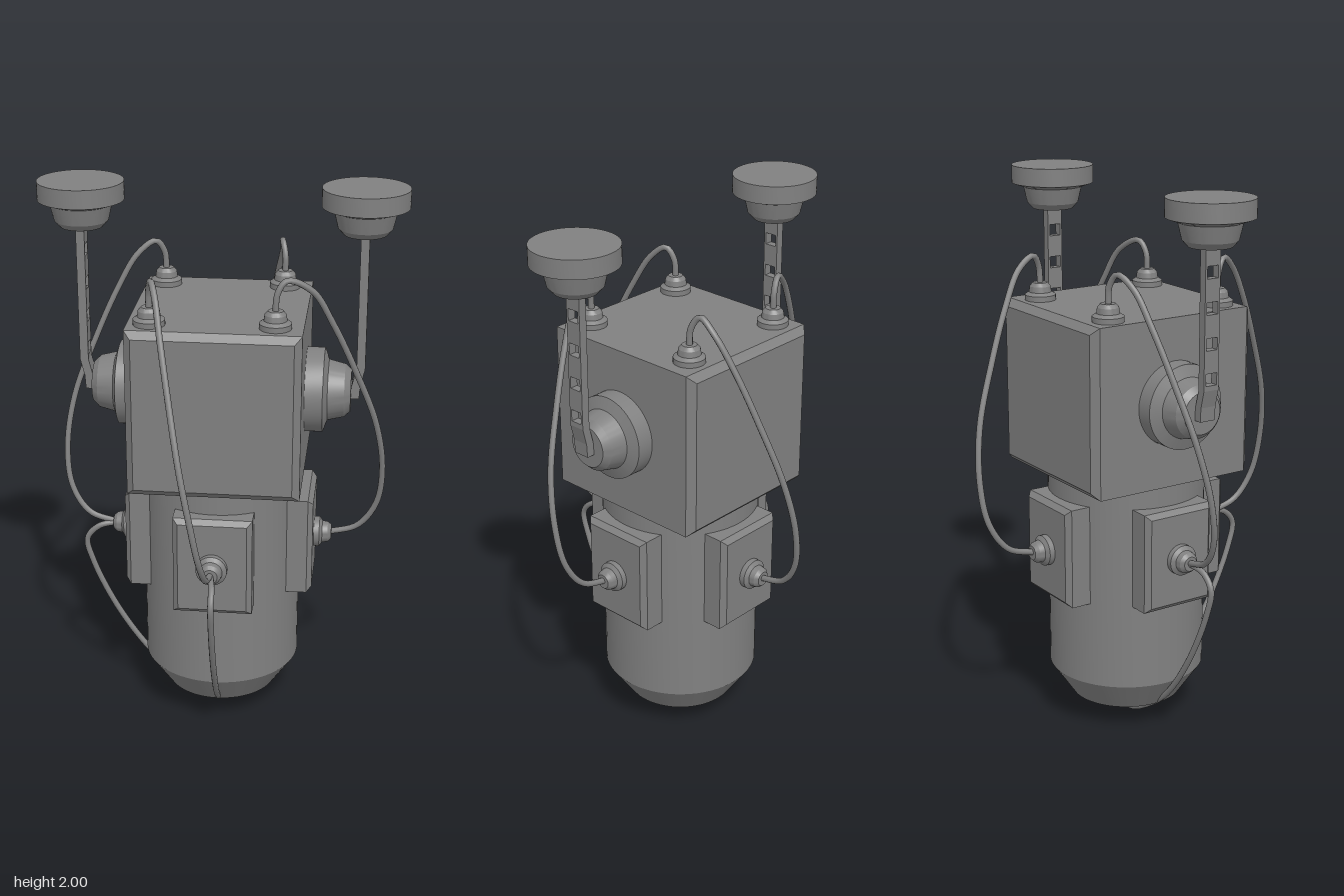
import * as THREE from 'three';
import { toCreasedNormals } from 'three/addons/utils/BufferGeometryUtils.js';

const material = new THREE.MeshStandardMaterial({ color: 0x808080 });

function add(parent, name, geometry) {
  const mesh = new THREE.Mesh(geometry, material);
  mesh.name = name;
  parent.add(mesh);
  return mesh;
}

// Turned part from [radius, height] pairs, bottom to top
function turned(profile, segments = 48) {
  const points = profile.map(([r, y]) => new THREE.Vector2(r, y));
  return toCreasedNormals(new THREE.LatheGeometry(points, segments), 0.4);
}

function polygon(pairs) {
  return new THREE.Shape(pairs.map(([x, y]) => new THREE.Vector2(x, y)));
}

function rectangle(w, h, cx = 0, cy = 0) {
  const a = w / 2, b = h / 2;
  return polygon([[cx - a, cy - b], [cx + a, cy - b], [cx + a, cy + b], [cx - a, cy + b]]);
}

// Block whose front and back faces are chamfered
function chamferedBlock(w, h, d, c) {
  return new THREE.ExtrudeGeometry(rectangle(w - 2 * c, h - 2 * c), {
    depth: d - 2 * c, bevelSize: c, bevelThickness: c, bevelSegments: 1,
  }).translate(0, 0, c - d / 2);
}

function cable(points) {
  const curve = new THREE.CatmullRomCurve3(points.map((p) => new THREE.Vector3(...p)));
  return new THREE.TubeGeometry(curve, 80, 0.011, 10, false);
}

const plugGeometry = turned([
  [0, -0.01], [0.055, -0.01], [0.055, 0.02], [0.04, 0.03],
  [0.037, 0.05], [0.026, 0.063], [0, 0.063],
], 32);

// Stepped disc shared by the side hubs and the top mounts
const steppedDisc = turned([
  [0, 0], [0.15, 0], [0.15, 0.065], [0.108, 0.08],
  [0.094, 0.138], [0.074, 0.16], [0, 0.16],
], 64);

// Pad, plugs and cables of one quarter, facing +z, with the top plug at x, z
function createQuarter(x, z, hasLowerCable) {
  const quarter = new THREE.Group();
  quarter.name = 'cableQuarter';
  add(quarter, 'sidePad', chamferedBlock(0.28, 0.365, 0.14, 0.018)).position.set(0, 0.711, 0.27);

  const sidePlug = add(quarter, 'sidePlug', plugGeometry);
  sidePlug.position.set(0, 0.711, 0.34);
  sidePlug.rotation.x = Math.PI / 2;
  add(quarter, 'topPlug', plugGeometry).position.set(x, 1.57, z);

  add(quarter, 'upperCable', cable([
    [x, 1.62, z], [x + 0.001, 1.69, z + 0.005], [x + 0.013, 1.733, z + 0.035],
    [-0.188, 1.69, 0.325], [-0.163, 1.57, 0.395], [-0.127, 1.39, 0.475],
    [-0.085, 1.18, 0.552], [-0.046, 0.99, 0.579], [-0.02, 0.84, 0.56],
    [-0.005, 0.745, 0.495], [0, 0.711, 0.39],
  ]));

  if (hasLowerCable) {
    add(quarter, 'lowerCable', cable([
      [0, 0.711, 0.39], [0.012, 0.695, 0.46], [0.014, 0.645, 0.504], [0.013, 0.55, 0.485],
      [0.01, 0.335, 0.385], [0.007, 0.15, 0.25], [0.004, 0.06, 0.13], [0, 0.02, 0.05],
      [0, 0.016, 0.02], [0, 0.04, 0.004], [0, 0.11, 0],
    ]));
  }
  return quarter;
}

// Hub, perforated strap and round mount on one side
function createHanger(side) {
  const hanger = new THREE.Group();
  hanger.name = side > 0 ? 'leftHanger' : 'rightHanger';

  const hub = add(hanger, 'hub', steppedDisc);
  hub.position.set(side * 0.298, 1.27, 0);
  hub.rotation.z = -side * Math.PI / 2;

  const mount = add(hanger, 'topMount', steppedDisc);
  mount.position.set(side * 0.488, 2, 0);
  mount.rotation.x = Math.PI;

  // Upper strap with square holes
  const plate = rectangle(0.06, 0.49, 0, 1.605);
  for (let i = 0; i < 4; i++) plate.holes.push(rectangle(0.044, 0.042, 0, 1.758 - i * 0.12));
  const strap = add(hanger, 'strap', new THREE.ExtrudeGeometry(plate, {
    depth: 0.03, bevelEnabled: false,
  }).translate(0, 0, -0.015).rotateY(Math.PI / 2));
  strap.position.x = side * 0.49;

  // Bent foot fixing the strap to the hub
  const foot = polygon([
    [0.475, 1.36], [0.46, 1.3], [0.455, 1.25], [0.487, 1.25], [0.49, 1.3], [0.505, 1.36],
  ].map(([x, y]) => [side * x, y]));
  add(hanger, 'strapFoot', new THREE.ExtrudeGeometry(foot, {
    depth: 0.06, bevelEnabled: false,
  }).translate(0, 0, -0.03));
  return hanger;
}

export function createModel() {
  const model = new THREE.Group();
  model.name = 'hangingDevice';

  add(model, 'housing', chamferedBlock(0.6, 0.6, 0.66, 0.025)).position.y = 1.271;
  add(model, 'barrel', turned([
    [0, 0.098], [0.205, 0.098], [0.285, 0.215], [0.285, 0.99], [0, 0.99],
  ], 64));

  // Quarters in order: front, left, back, right
  const topPlugs = [[-0.223, 0.233], [-0.23, 0.204], [-0.203, 0.23], [-0.225, 0.227]];
  topPlugs.forEach(([x, z], i) => {
    const quarter = createQuarter(x, z, i === 0 || i === 3);
    quarter.rotation.y = i * Math.PI / 2;
    model.add(quarter);
  });
  for (const side of [-1, 1]) model.add(createHanger(side));
  return model;
}
